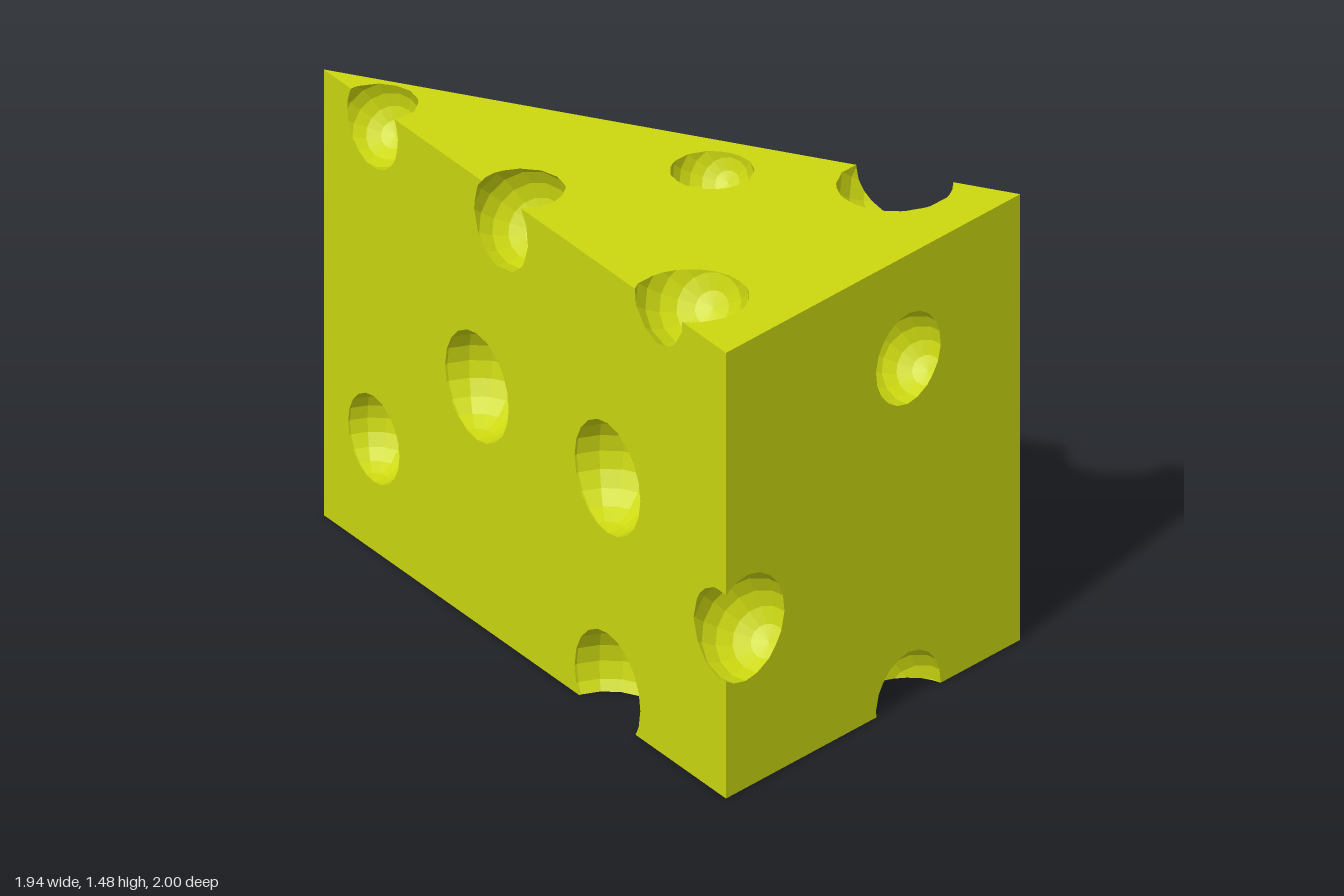
import * as THREE from 'three';

const H = 1.48; // wedge height
// Wedge corners, counter-clockwise seen from above
const CORNERS = [[-0.97, -1], [-0.03, 1], [0.97, 0.08]];
const V = (x, y, z) => new THREE.Vector3(x, y, z);
const planeOf = (p) => new THREE.Plane().setFromCoplanarPoints(p[0], p[1], p[2]);

// Keep the part of a convex polygon behind (side 1) or in front of (side -1) a plane
function clip(poly, plane, side) {
  const out = [];
  poly.forEach((a, i) => {
    const b = poly[(i + 1) % poly.length];
    const da = side * plane.distanceToPoint(a), db = side * plane.distanceToPoint(b);
    if (da <= 0) out.push(a);
    if ((da < 0 && db > 0) || (da > 0 && db < 0)) out.push(a.clone().lerp(b, da / (da - db)));
  });
  return out.length > 2 ? out : [];
}

// Remove a convex solid (list of planes) from a polygon, leaving convex pieces
function subtract(poly, planes) {
  const pieces = [];
  let rest = poly;
  for (const plane of planes) {
    const outside = clip(rest, plane, -1);
    if (outside.length) pieces.push(outside);
    rest = clip(rest, plane, 1);
    if (!rest.length) return [poly];
  }
  return pieces;
}

// Flat facets of a faceted ball, each wound outward
function ballFacets(center, r, tilt, cols = 16, rows = 10) {
  const turn = new THREE.Euler(tilt, 0, tilt * 0.6);
  const at = (i, j) => V().setFromSphericalCoords(r, (Math.PI * j) / rows, (2 * Math.PI * (i % cols)) / cols)
    .applyEuler(turn).add(center);
  const facets = [];
  for (let j = 0; j < rows; j++) for (let i = 0; i < cols; i++) {
    const f = [at(i, j), at(i, j + 1)];
    if (j < rows - 1) f.push(at(i + 1, j + 1));
    if (j > 0) f.push(at(i + 1, j));
    if (planeOf(f).distanceToPoint(center) > 0) f.reverse();
    facets.push(f);
  }
  return facets;
}

// Fan-triangulate convex polygons into one flat-shaded mesh
function meshOf(polys, name, material) {
  const pos = [];
  for (const p of polys) for (let i = 1; i < p.length - 1; i++) {
    for (const v of [p[0], p[i], p[i + 1]]) pos.push(v.x, v.y, v.z);
  }
  const geo = new THREE.BufferGeometry();
  geo.setAttribute('position', new THREE.Float32BufferAttribute(pos, 3));
  geo.computeVertexNormals();
  const mesh = new THREE.Mesh(geo, material);
  mesh.name = name;
  return mesh;
}

function holeList() {
  // Holes in the top and the front right side: x, y, z, radius
  const holes = [
    [-0.84, 1.41, -0.765, 0.142], [-0.49, 1.38, -0.15, 0.166], [0.085, 1.47, -0.195, 0.127],
    [0.61, 1.485, -0.03, 0.177], [-0.085, 1.485, 0.615, 0.177],
    [0.59, 1.135, 0.43, 0.15], [0.59, 0.01, 0.43, 0.15], [0.04, 0.53, 0.935, 0.175],
  ].map((h) => [...h, 0.8]);
  // Holes centred on the left-hand long side: x, y, radius
  for (const [x, y, r] of [[-0.612, 0.785, 0.176], [-0.307, 0.787, 0.182], [-0.853, 0.37, 0.142], [-0.307, 0.09, 0.182]]) {
    holes.push([x, y, -1 + (x + 0.97) * (2 / 0.94), r, 0]);
  }
  // Holes centred on the back side: z, y, radius
  for (const [z, y, r] of [[-0.455, 1.172, 0.147], [-0.89, 1.172, 0.112], [-0.192, 0.785, 0.147],
    [-0.595, 0.785, 0.138], [-0.23, 0.07, 0.13], [-0.718, 0.07, 0.13]]) {
    holes.push([0.97 + (z - 0.08) * (1.94 / 1.08), y, z, r, 0]);
  }
  return holes;
}

export function createModel() {
  const group = new THREE.Group();
  group.name = 'cheeseWedge';
  const material = new THREE.MeshStandardMaterial({ color: 0xccd810, flatShading: true });

  // Faces of the solid wedge
  const low = CORNERS.map(([x, z]) => V(x, 0, z));
  const high = CORNERS.map(([x, z]) => V(x, H, z));
  const faces = [high, [...low].reverse()];
  for (let i = 0; i < 3; i++) {
    const k = (i + 1) % 3;
    faces.push([low[i], low[k], high[k], high[i]]);
  }
  const names = ['topFace', 'bottomFace', 'leftSide', 'frontSide', 'backSide'];
  const wedgePlanes = faces.map(planeOf);
  const balls = holeList().map(([x, y, z, r, tilt]) => ballFacets(V(x, y, z), r, tilt));

  // Outer faces with the holes cut out
  faces.forEach((face, i) => {
    let pieces = [face];
    for (const ball of balls) {
      const planes = ball.map(planeOf);
      pieces = pieces.flatMap((p) => subtract(p, planes));
    }
    group.add(meshOf(pieces, names[i], material));
  });

  // Hollow walls: ball facets trimmed to the wedge and turned inward
  balls.forEach((ball, i) => {
    const walls = ball
      .map((f) => wedgePlanes.reduce((p, plane) => clip(p, plane, 1), f))
      .filter((f) => f.length)
      .map((f) => f.reverse());
    group.add(meshOf(walls, `hole${i + 1}`, material));
  });
  return group;
}
